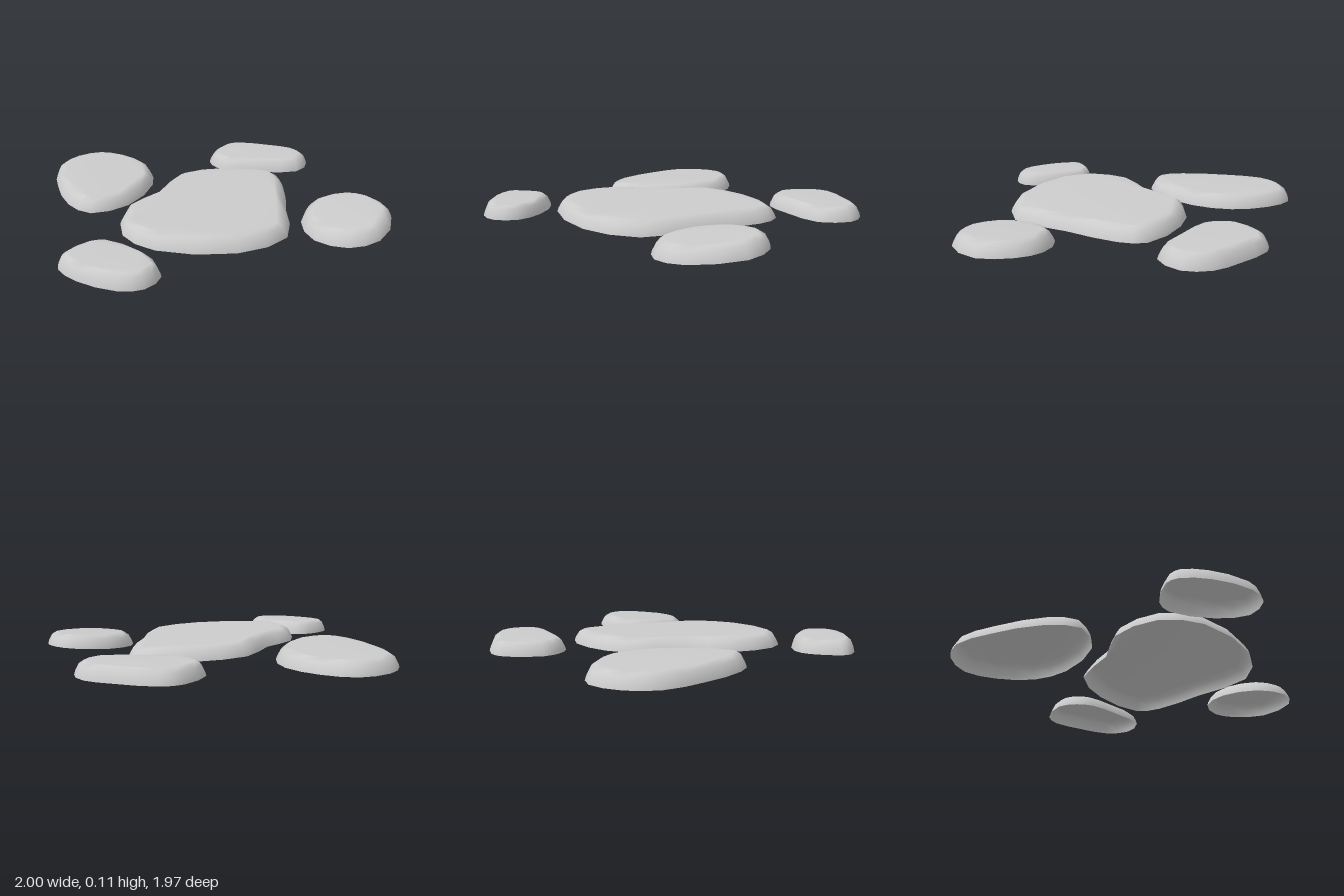
import * as THREE from 'three';

const HEIGHT = 0.07;

// Rounded edge: [fraction of inset, fraction of height], from the ground up
const PROFILE = [[0, 0], [0.12, 0.28], [0.48, 0.76], [1, 1]];

// Closed curve through flat [x, z, x, z, ...] points, as a counter-clockwise outline in (x, -z)
function smoothOutline(coords) {
  const knots = [];
  for (let i = 0; i < coords.length; i += 2) {
    knots.push(new THREE.Vector3(coords[i], -coords[i + 1], 0));
  }
  const curve = new THREE.CatmullRomCurve3(knots.reverse(), true);
  return curve.getPoints(knots.length * 2).slice(0, -1).map((p) => new THREE.Vector2(p.x, p.y));
}

// Moves every corner of an outline inwards by distance d
function insetOutline(points, d) {
  const n = points.length;
  return points.map((p, i) => {
    const a = p.clone().sub(points[(i + n - 1) % n]).normalize();
    const b = points[(i + 1) % n].clone().sub(p).normalize();
    const dir = new THREE.Vector2(-a.y - b.y, a.x + b.x).normalize();
    const cosHalf = Math.max(0.6, dir.dot(new THREE.Vector2(-a.y, a.x)));
    return p.clone().addScaledVector(dir, d / cosHalf);
  });
}

// Hollow shell: stacked inset rings closed by a flat top, open underneath.
// Its ground plane is y = base + slopeX * x + slopeZ * z.
function makeStone(name, coords, inset, base, slopeX, slopeZ) {
  const outline = smoothOutline(coords);
  const n = outline.length;
  const rings = PROFILE.map(([f]) => insetOutline(outline, inset * f));
  const positions = [];
  const indices = [];
  rings.forEach((ring, r) => {
    for (const p of ring) {
      positions.push(p.x, base + slopeX * p.x - slopeZ * p.y + HEIGHT * PROFILE[r][1], -p.y);
    }
  });
  const top = (rings.length - 1) * n;
  for (let low = 0; low < top; low += n) {
    for (let i = 0; i < n; i++) {
      const a = low + i;
      const b = low + ((i + 1) % n);
      indices.push(a, b, b + n, a, b + n, a + n);
    }
  }
  for (const face of THREE.ShapeUtils.triangulateShape(rings.at(-1), [])) {
    indices.push(...face.map((i) => top + i));
  }
  const geometry = new THREE.BufferGeometry();
  geometry.setAttribute('position', new THREE.Float32BufferAttribute(positions, 3));
  geometry.setIndex(indices);
  geometry.computeVertexNormals();
  const material = new THREE.MeshStandardMaterial({ color: 0xcccccc, side: THREE.DoubleSide });
  const mesh = new THREE.Mesh(geometry, material);
  mesh.name = name;
  return mesh;
}

export function createModel() {
  const group = new THREE.Group();
  group.name = 'steppingStones';
  group.add(
    // Large heart-like stone, tipped slightly towards the front
    makeStone('centreStone', [
      0.165, -0.265, 0.415, -0.12, 0.563, 0.13, 0.49, 0.255, 0.235, 0.425, -0.055, 0.608,
      -0.355, 0.515, -0.585, 0.2, -0.565, -0.025, -0.355, -0.19, -0.12, -0.19,
    ], 0.055, 0.038, -0.012, -0.025),
    // Long stone at the back
    makeStone('backStone', [
      0.035, -0.985, 0.2, -0.91, 0.255, -0.74, 0.22, -0.53, 0.07, -0.375,
      -0.24, -0.285, -0.44, -0.37, -0.43, -0.55, -0.285, -0.79, -0.13, -0.955,
    ], 0.05, 0.026, 0, 0),
    // Side stones, lying level
    makeStone('leftStone', [
      0.59, -0.345, 0.785, -0.382, 0.88, -0.325, 0.96, -0.135, 0.997, 0.02,
      0.94, 0.15, 0.775, 0.18, 0.63, 0.015, 0.53, -0.15, 0.53, -0.25,
    ], 0.045, 0.026, 0, 0),
    makeStone('rightStone', [
      -0.925, -0.082, -0.76, -0.07, -0.685, 0, -0.673, 0.22, -0.74, 0.37,
      -0.87, 0.385, -0.955, 0.3, -0.999, 0.1, -0.975, -0.04,
    ], 0.04, 0.026, 0, 0),
    // Round stone at the front, tipped sideways
    makeStone('frontStone', [
      0.365, 0.522, 0.52, 0.625, 0.55, 0.76, 0.465, 0.925,
      0.21, 0.98, 0.06, 0.885, 0.035, 0.71, 0.17, 0.555,
    ], 0.05, 0, 0.067, 0),
  );
  return group;
}
